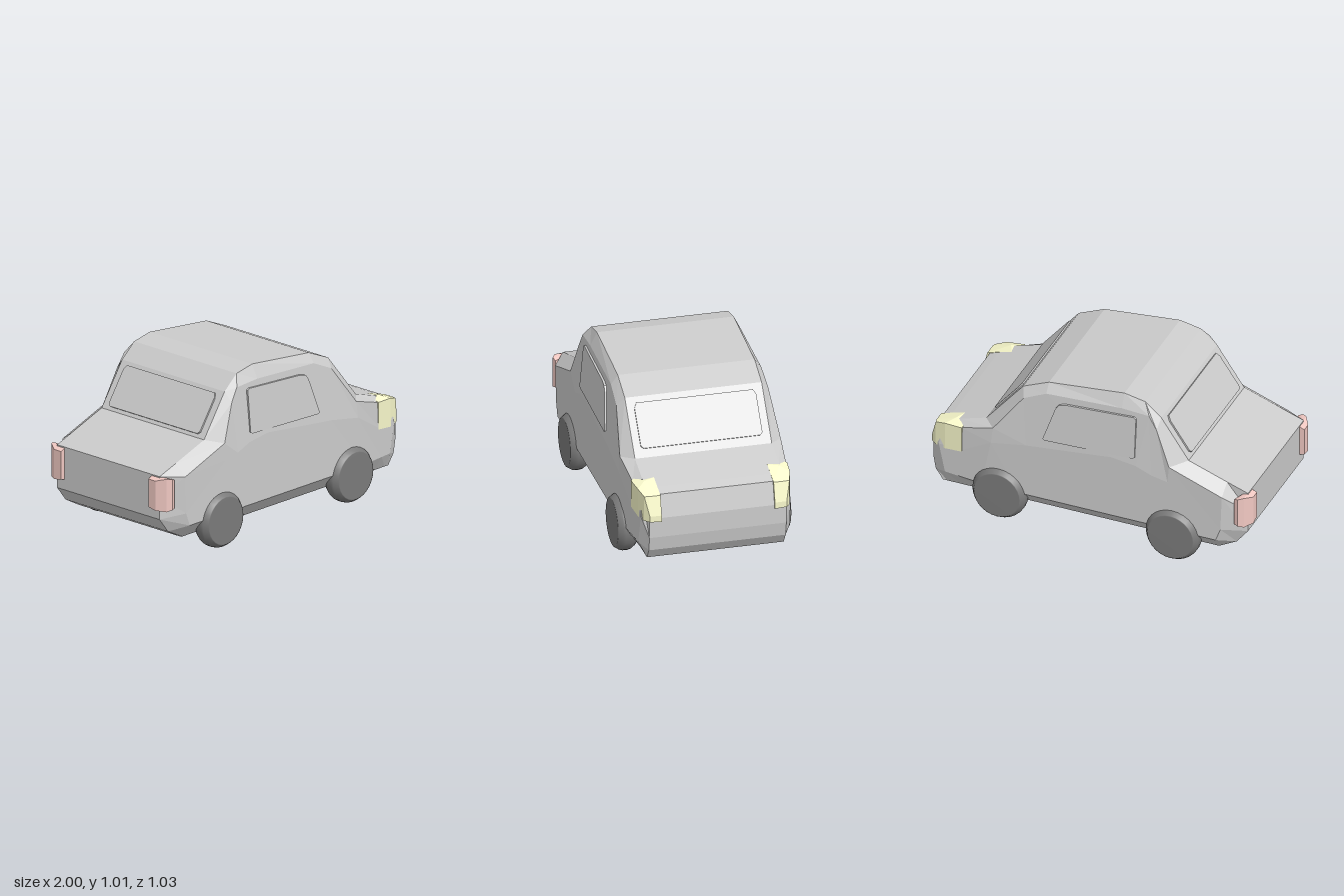
import * as THREE from 'three';
import { ConvexGeometry } from 'three/addons/geometries/ConvexGeometry.js';

const paint = (color, flatShading = true) => new THREE.MeshStandardMaterial({ color, flatShading });
const grey = paint(0xcccccc);
const rubber = paint(0x7a7a7a, false);
const yellow = paint(0xfafacc);
const pink = paint(0xf0c8c2);

function add(group, name, geometry, material) {
  const mesh = new THREE.Mesh(geometry, material);
  mesh.name = name;
  group.add(mesh);
  return mesh;
}

const edgeZ = .405; // half width of roof, bonnet, boot lid and floor
const flankZ = x => .482 - .12 * Math.max(0, x - .62); // flanks taper to the nose

// Half section: roof edge, shoulder, belt, sill, floor edge
const section = ([x, y, shoulderX, shoulderY, shoulderZ, beltX, beltY]) => [
  [x, y, edgeZ],
  [shoulderX, shoulderY, shoulderZ],
  [beltX, beltY, flankZ(beltX)],
  [Math.max(x, -.8), .2, flankZ(x)],
  [Math.max(x, -.78), .11, edgeZ],
];
// Flat end profile across the full width
const endProfile = points => points.map(([x, y]) => [x, y, edgeZ]);

function bodyGeometry() {
  const tail = endProfile([[-.97, .52], [-.97, .4], [-.97, .26], [-.9, .17], [-.79, .11]]);
  const nose = endProfile([[.955, .515], [.99, .38], [.99, .26], [.975, .175], [.93, .11]]);
  const middle = [
    [-.84, .565, -.84, .505, .485, -.83, .28],
    [-.6, .65, -.51, .625, .482, -.5, .52],
    [-.43, .9, -.42, .84, .452, -.4, .54],
    [-.33, .985, -.37, .92, .445, -.3, .58],
    [-.2, 1.01, -.2, .93, .445, -.15, .6],
    [.27, .96, .27, .905, .445, .2, .56],
    [.43, .89, .41, .84, .45, .38, .54],
    [.66, .61, .59, .6, .476, .6, .5],
    [.82, .56, .8, .535, .455, .8, .38],
    [.9, .535, .92, .5, .43, .94, .38],
  ].map(section);

  const mirror = ([x, y, z]) => [x, y, -z];
  const rings = [tail, ...middle, nose].map(s => [...s, ...[...s].reverse().map(mirror)]);
  const out = [];
  const quad = (a, b, c, d) => out.push(...a, ...b, ...c, ...a, ...c, ...d);
  // Skin between sections
  for (let i = 0; i < rings.length - 1; i++) {
    const p = rings[i], q = rings[i + 1];
    for (let k = 0; k < p.length; k++) {
      const n = (k + 1) % p.length;
      quad(p[k], p[n], q[n], q[k]);
    }
  }
  // Nose and tail strips
  for (let k = 0; k < 4; k++) {
    quad(nose[k], nose[k + 1], mirror(nose[k + 1]), mirror(nose[k]));
    quad(mirror(tail[k]), mirror(tail[k + 1]), tail[k + 1], tail[k]);
  }
  const g = new THREE.BufferGeometry();
  g.setAttribute('position', new THREE.Float32BufferAttribute(out, 3));
  g.computeVertexNormals();
  return g;
}

// Thin pane; local x right, y up, z outwards
function pane(points, depth) {
  const shape = new THREE.Shape(points.map(p => new THREE.Vector2(...p)));
  return new THREE.ExtrudeGeometry(shape, { depth, bevelEnabled: false });
}

// Windscreen or rear window laid on the slope between two profile points
function slopedWindow(group, name, low, high) {
  const up = new THREE.Vector3(high[0] - low[0], high[1] - low[1], 0);
  const h = up.length() / 2, w = .36, c = .015;
  up.normalize();
  const outline = [[-w + c, -h], [w - c, -h], [w, -h + c], [w, h - 2 * c],
    [w - c, h], [-w + c, h], [-w, h - 2 * c], [-w, -h + c]];
  const right = new THREE.Vector3(0, 0, low[0] > 0 ? -1 : 1);
  const normal = right.clone().cross(up);
  const mesh = add(group, name, pane(outline, .016), grey);
  mesh.quaternion.setFromRotationMatrix(new THREE.Matrix4().makeBasis(right, up, normal));
  mesh.position.set((low[0] + high[0]) / 2, (low[1] + high[1]) / 2, 0).addScaledVector(normal, -.006);
}

// Side window leaning inwards with the cabin; the right one is turned about y
function sideWindow(side) {
  const outline = [[-.295, .635], [-.28, .627], [.265, .608], [.277, .615], [.205, .83],
    [.185, .858], [.14, .87], [-.28, .895], [-.295, .885]];
  const g = pane(outline.map(([x, y]) => [x * side, y]), .02);
  const pos = g.attributes.position;
  for (let i = 0; i < pos.count; i++) {
    pos.setZ(i, pos.getZ(i) + .466 - (pos.getY(i) - .61) * .09);
  }
  g.computeVertexNormals();
  return side > 0 ? g : g.rotateY(Math.PI);
}

// Convex lamp from a plan outline [x, z, bottom, top]
function lamp(plan, side) {
  return new ConvexGeometry(plan.flatMap(([x, z, bottom, top]) =>
    [bottom, top].map(y => new THREE.Vector3(x, y, z * side))));
}

export function createModel() {
  const car = new THREE.Group();
  car.name = 'car';
  add(car, 'body', bodyGeometry(), grey);

  slopedWindow(car, 'windscreen', [.625, .65], [.453, .86]);
  slopedWindow(car, 'rearWindow', [-.588, .668], [-.443, .88]);

  const headPlan = [[.78, .435, .37, .55], [.79, .463, .375, .54], [.9, .45, .362, .535],
    [.965, .43, .362, .515], [1, .405, .365, .4], [.97, .405, .4, .515],
    [1, .335, .36, .4], [.97, .335, .4, .515], [.82, .335, .4, .56], [.85, .4, .4, .558]];
  const tailPlan = [[-1, .345, .33, .5], [-1, .4, .32, .5], [-.965, .345, .32, .515],
    [-.965, .455, .315, .515], [-.935, .475, .325, .51], [-.908, .465, .33, .5]];
  // Wheel: flat disc, chamfered shoulder, narrow tread
  const wheelProfile = [[0, -.058], [.14, -.058], [.145, -.056], [.163, -.03], [.167, -.015],
    [.167, .015], [.163, .03], [.145, .056], [.14, .058], [0, .058]]
    .map(p => new THREE.Vector2(...p));

  for (const side of [1, -1]) {
    const label = side > 0 ? 'Left' : 'Right';
    // The car's nose points along +x, so parts are told apart by their z side
    const suffix = label + 'Side';
    add(car, 'window' + suffix, sideWindow(side), grey);
    add(car, 'headlight' + suffix, lamp(headPlan, side), yellow);
    add(car, 'tailLight' + suffix, lamp(tailPlan, side), pink);

    for (const [end, x] of [['rear', -.53], ['front', .55]]) {
      const wheel = add(car, end + 'Wheel' + suffix, new THREE.LatheGeometry(wheelProfile, 28), rubber);
      wheel.rotation.x = Math.PI / 2;
      wheel.position.set(x, .167, side * .455);
    }
  }
  return car;
}
